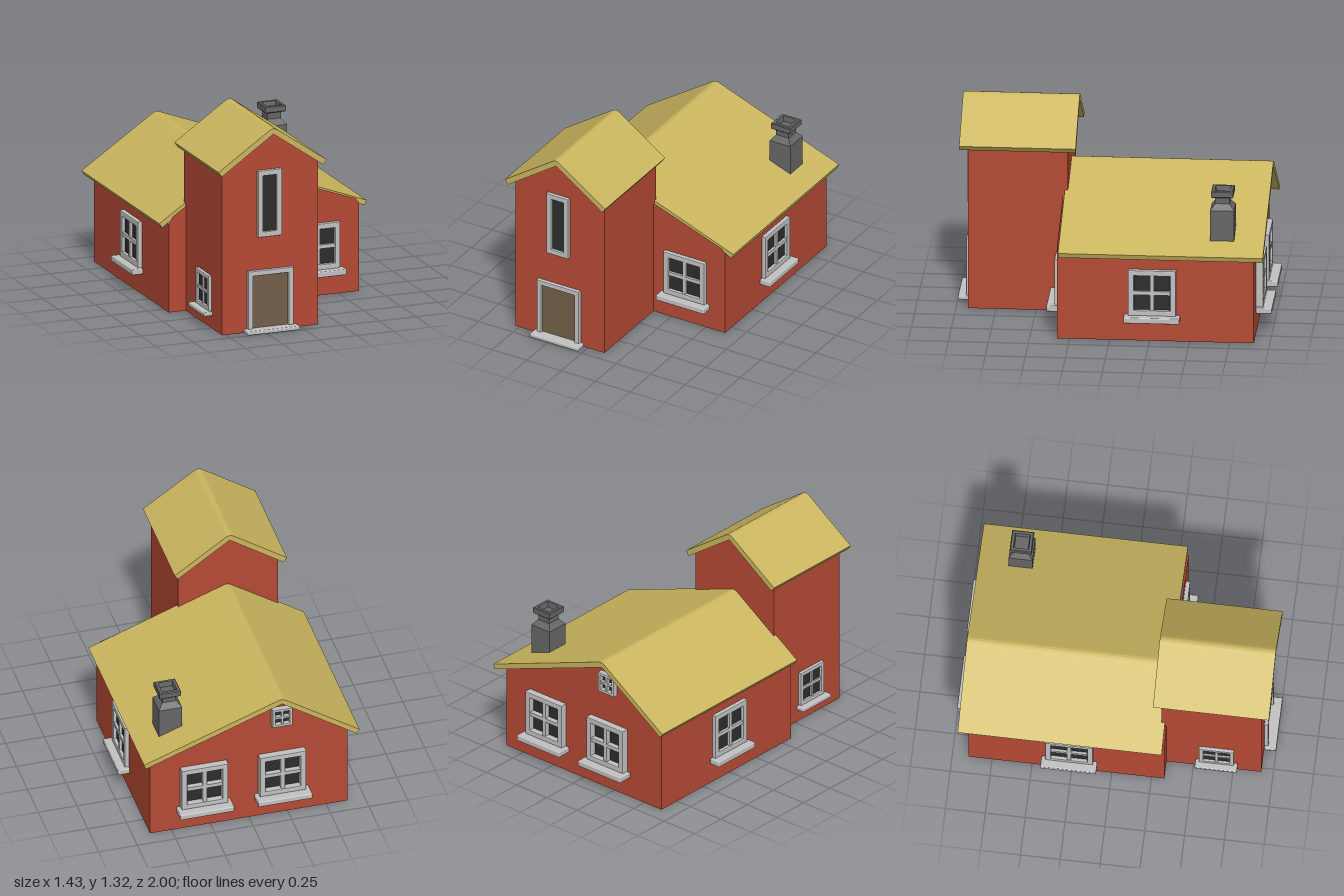
import * as THREE from 'three';
import { mergeGeometries } from 'three/addons/utils/BufferGeometryUtils.js';
import { RoundedBoxGeometry } from 'three/addons/geometries/RoundedBoxGeometry.js';

const mat = (name, color, side = THREE.FrontSide) => {
  const m = new THREE.MeshStandardMaterial({ color, side });
  m.name = name;
  return m;
};

export function createModel() {
  const red = mat('wall red', 0xb64a35, THREE.DoubleSide);
  const straw = mat('roof yellow', 0xcbb65f);
  const pale = mat('trim grey', 0xc2c2c2);
  const dark = mat('glass black', 0x2d2d2d);
  const brown = mat('door brown', 0x735f48);
  const stone = mat('chimney grey', 0x676767, THREE.DoubleSide);

  const house = new THREE.Group();
  house.name = 'house';

  const add = (parent, name, geometry, material, x = 0, y = 0, z = 0) => {
    const mesh = new THREE.Mesh(geometry, material);
    mesh.name = name;
    mesh.position.set(x, y, z);
    parent.add(mesh);
    return mesh;
  };
  const shapeOf = (pts) => new THREE.Shape(pts.map(([x, y]) => new THREE.Vector2(x, y)));

  // Hollow walls: two gable ends and two sides, open below and above
  const walls = (name, profile, zBack, zFront) => {
    const front = new THREE.ShapeGeometry(shapeOf(profile)).translate(0, 0, zFront);
    const back = new THREE.ShapeGeometry(shapeOf(profile.map(([x, y]) => [-x, y])))
      .rotateY(Math.PI).translate(0, 0, zBack);
    const xs = profile.map((p) => p[0]);
    const sides = [Math.min(...xs), Math.max(...xs)].map((x, i) => {
      const h = Math.max(...profile.filter((p) => p[0] === x).map((p) => p[1]));
      return new THREE.PlaneGeometry(zFront - zBack, h)
        .rotateY(i ? Math.PI / 2 : -Math.PI / 2)
        .translate(x, h / 2, (zFront + zBack) / 2);
    });
    add(house, name, mergeGeometries([front, back, ...sides]), red);
  };

  // Pitched roof slab with a softened ridge and square-cut eaves
  const roof = (name, [rx, ry], left, right, t, zBack, zFront) => {
    const cut = ([x, y]) => {
      const len = Math.hypot(x - rx, y - ry);
      return [x - (t * (ry - y) * Math.sign(x - rx)) / len, y - (t * Math.abs(x - rx)) / len];
    };
    const toward = ([x, y], d) => {
      const k = d / Math.abs(x - rx);
      return [rx + (x - rx) * k, ry + (y - ry) * k];
    };
    const s = new THREE.Shape();
    s.moveTo(...left);
    s.lineTo(...toward(left, 0.03));
    s.quadraticCurveTo(rx, ry + 0.003, ...toward(right, 0.03));
    s.lineTo(...right);
    s.lineTo(...cut(right));
    s.lineTo(rx, ry - t * 1.15);
    s.lineTo(...cut(left));
    const g = new THREE.ExtrudeGeometry(s, {
      depth: zFront - zBack, bevelEnabled: false, curveSegments: 4,
    });
    add(house, name, g, straw, 0, 0, zBack);
  };

  // Main block
  walls('mainWalls', [[-0.64, 0], [0.64, 0], [0.64, 0.575], [0.615, 0.604], [-0.2, 0.898],
    [-0.615, 0.617], [-0.64, 0.575]], -0.9, 0.33);
  roof('mainRoof', [-0.2, 0.916], [-0.7, 0.58], [0.695, 0.58], 0.034, -0.96, 0.32);

  // Tower at the front
  walls('towerWalls', [[-0.525, 0], [0.12, 0], [0.12, 1.062], [-0.2, 1.283],
    [-0.525, 1.062]], 0.3, 0.925);
  roof('towerRoof', [-0.2, 1.328], [-0.57, 1.075], [0.157, 1.08], 0.038, 0.25, 0.978);

  const bevelled = (shape, depth, b) => new THREE.ExtrudeGeometry(shape, {
    depth: depth - b, bevelThickness: b, bevelSize: b, bevelOffset: -b, bevelSegments: 2,
  });

  // Window, with its origin at the bottom middle of the frame, facing +z
  const windowAt = (name, [x, y, z], turn, o) => {
    const { w, h, border, depth, bars = 0, sill } = o;
    const g = new THREE.Group();
    g.name = name;
    g.position.set(x, y, z);
    g.rotation.y = turn;
    house.add(g);
    const iw = w / 2 - border;
    const rim = shapeOf([[-w / 2, 0], [w / 2, 0], [w / 2, h], [-w / 2, h]]);
    rim.holes.push(new THREE.Path([[-iw, border], [-iw, h - border], [iw, h - border], [iw, border]]
      .map(([a, b]) => new THREE.Vector2(a, b))));
    add(g, 'frame', bevelled(rim, depth, 0.006), pale);
    add(g, 'glass', new THREE.PlaneGeometry(iw * 2, h - 2 * border), dark, 0, h / 2, 0.006);
    if (bars) {
      const d = depth - 0.005;
      add(g, 'uprightBar', new THREE.BoxGeometry(bars, h - 2 * border, d), pale, 0, h / 2, d / 2);
      add(g, 'crossBar', new THREE.BoxGeometry(iw * 2, bars, d), pale, 0, h / 2, d / 2);
    }
    if (sill) {
      const [sw, sh, sd] = sill;
      add(g, 'sill', new RoundedBoxGeometry(sw, sh, sd, 2, 0.007), pale, 0, 0.003 - sh / 2, sd / 2);
    }
  };

  const big = { w: 0.3, h: 0.3, border: 0.036, depth: 0.027, bars: 0.025, sill: [0.35, 0.038, 0.075] };
  const rear = { ...big, depth: 0.045, sill: [0.35, 0.038, 0.1] };
  windowAt('frontWindow', [0.355, 0.17, 0.33], 0, big);
  for (const s of [1, -1]) {
    windowAt(s > 0 ? 'leftWindow' : 'rightWindow', [s * 0.64, 0.17, -0.265], s * Math.PI / 2, big);
  }
  for (const x of [-0.21, 0.295]) windowAt('backWindow', [x, 0.17, -0.9], Math.PI, rear);
  windowAt('gableWindow', [-0.21, 0.68, -0.9], Math.PI,
    { w: 0.13, h: 0.135, border: 0.02, depth: 0.035, bars: 0.015 });
  windowAt('towerSideWindow', [-0.525, 0.11, 0.645], -Math.PI / 2,
    { w: 0.22, h: 0.23, border: 0.027, depth: 0.022, bars: 0.018, sill: [0.265, 0.027, 0.06] });
  windowAt('towerWindow', [-0.21, 0.612, 0.925], 0,
    { w: 0.16, h: 0.432, border: 0.035, depth: 0.023 });

  // Door with its surround and step
  const door = new THREE.Group();
  door.name = 'door';
  door.position.set(-0.205, 0, 0.925);
  house.add(door);
  const surround = shapeOf([[-0.153, 0.01], [-0.119, 0.01], [-0.119, 0.365], [0.119, 0.365],
    [0.119, 0.01], [0.153, 0.01], [0.153, 0.398], [-0.153, 0.398]]);
  add(door, 'doorFrame', bevelled(surround, 0.025, 0.006), pale);
  add(door, 'doorPanel', new THREE.PlaneGeometry(0.24, 0.355), brown, 0, 0.188, 0.007);
  add(door, 'doorStep', new RoundedBoxGeometry(0.352, 0.026, 0.075, 2, 0.007), pale, 0, 0.013, 0.0375);

  // Square chimney: body, shoulder, neck and hollow cap (half-widths and heights)
  const stack = [[0.075, 0.61], [0.075, 0.835], [0.045, 0.872], [0.045, 0.917], [0.064, 0.917],
    [0.069, 0.922], [0.069, 0.955], [0.064, 0.96], [0.048, 0.96], [0.043, 0.925], [0, 0.925]];
  const stackGeo = new THREE.LatheGeometry(
    stack.map(([r, y]) => new THREE.Vector2(r * Math.SQRT2, y)), 4, Math.PI / 4).toNonIndexed();
  stackGeo.computeVertexNormals();
  add(house, 'chimney', stackGeo, stone, 0.47, 0, -0.695);

  return house;
}
